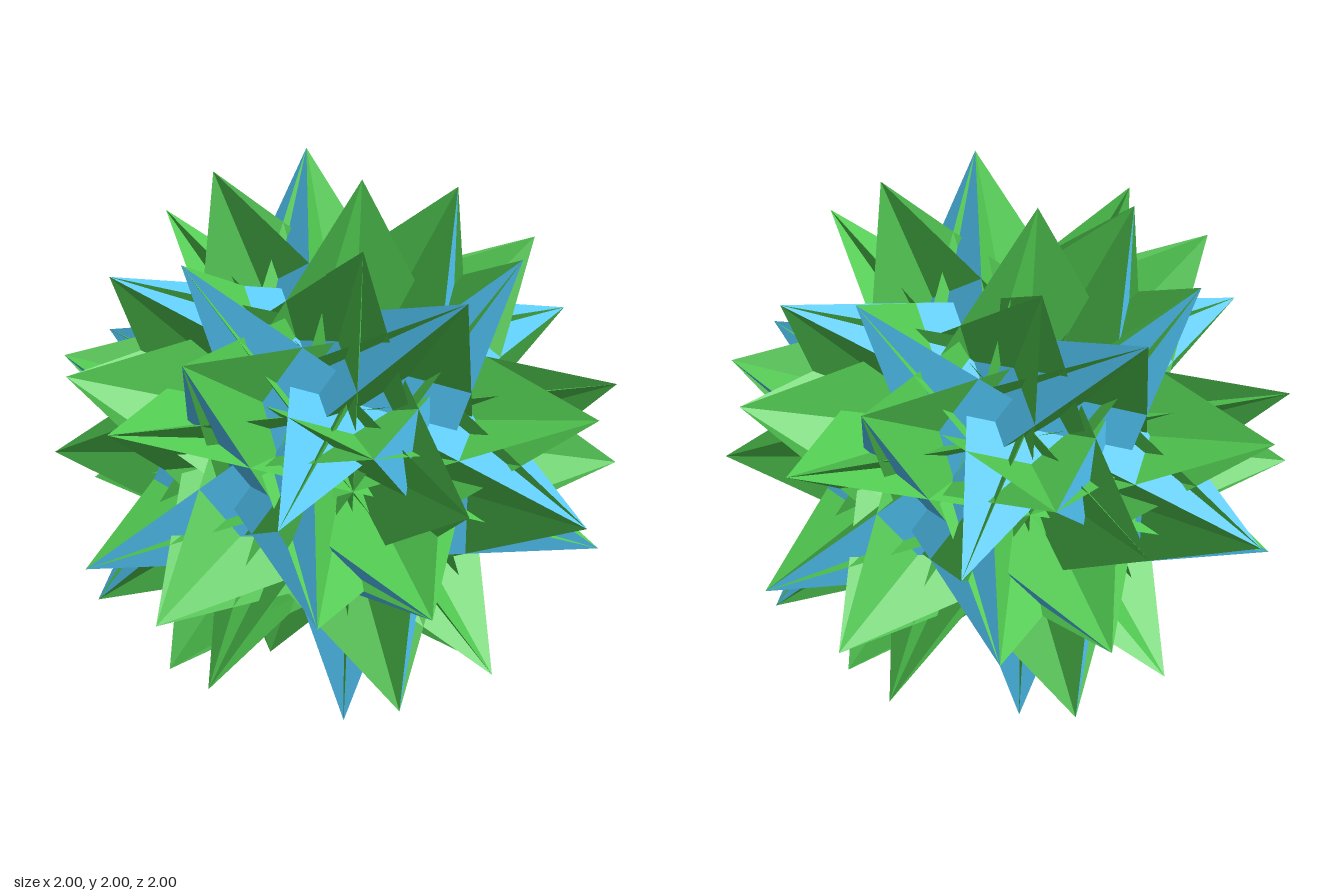
import * as THREE from 'three';

const PHI = (1 + Math.sqrt(5)) / 2;

// All images of a point under the icosahedral rotations.
function orbit(seed) {
  const turns = [
    [new THREE.Vector3(1, 1, 1).normalize(), 2 * Math.PI / 3],
    [new THREE.Vector3(0, PHI, 1).normalize(), 2 * Math.PI / 5],
  ];
  const points = [seed];
  for (let i = 0; i < points.length; i++) {
    for (const [axis, angle] of turns) {
      const q = points[i].clone().applyAxisAngle(axis, angle);
      if (!points.some((p) => p.distanceTo(q) < 1e-3)) points.push(q);
    }
  }
  return points;
}

// Flat-shaded mesh from a list of triangle corners.
function facetMesh(name, corners, color) {
  const geometry = new THREE.BufferGeometry().setFromPoints(corners);
  geometry.computeVertexNormals();
  const material = new THREE.MeshStandardMaterial({ color, flatShading: true, side: THREE.DoubleSide });
  const mesh = new THREE.Mesh(geometry, material);
  mesh.name = name;
  return mesh;
}

export function createModel() {
  const tips = orbit(new THREE.Vector3(0.10065, 1, -0.27536)); // 60 spike tips
  const axes = orbit(new THREE.Vector3(0, PHI, 1).normalize()); // 12 fivefold axes
  const edgeSq = 3.2281; // squared length shared by every edge
  const starHeight = 0.4401; // distance of the star faces from the centre

  // Five-pointed stars: a fan about each axis, stepping two fifths of a turn
  const stars = [];
  for (const axis of axes) {
    let p = tips.find((t) => Math.abs(t.dot(axis) - starHeight) < 0.01);
    const center = axis.clone().multiplyScalar(p.dot(axis));
    for (let k = 0; k < 5; k++) {
      const q = p.clone().applyAxisAngle(axis, 4 * Math.PI / 5);
      stars.push(center, p, q);
      p = q;
    }
  }

  // Large interpenetrating triangles: every three tips joined by equal edges
  const triangles = [];
  const joined = (a, b) => Math.abs(a.distanceToSquared(b) - edgeSq) < 0.01;
  for (let i = 0; i < tips.length; i++) {
    for (let j = i + 1; j < tips.length; j++) {
      if (!joined(tips[i], tips[j])) continue;
      for (let k = j + 1; k < tips.length; k++) {
        const [a, b, c] = [tips[i], tips[j], tips[k]];
        if (!joined(a, c) || !joined(b, c)) continue;
        const outward = b.clone().sub(a).cross(c.clone().sub(a)).dot(a) > 0;
        triangles.push(a, ...(outward ? [b, c] : [c, b]));
      }
    }
  }

  const group = new THREE.Group();
  group.name = 'spikyPolyhedron';
  group.add(
    facetMesh('triangleFaces', triangles, 0x50c850),
    facetMesh('starFaces', stars, 0x50c4f4),
  );
  group.children.forEach((mesh) => { mesh.position.y = 1; });
  return group;
}
